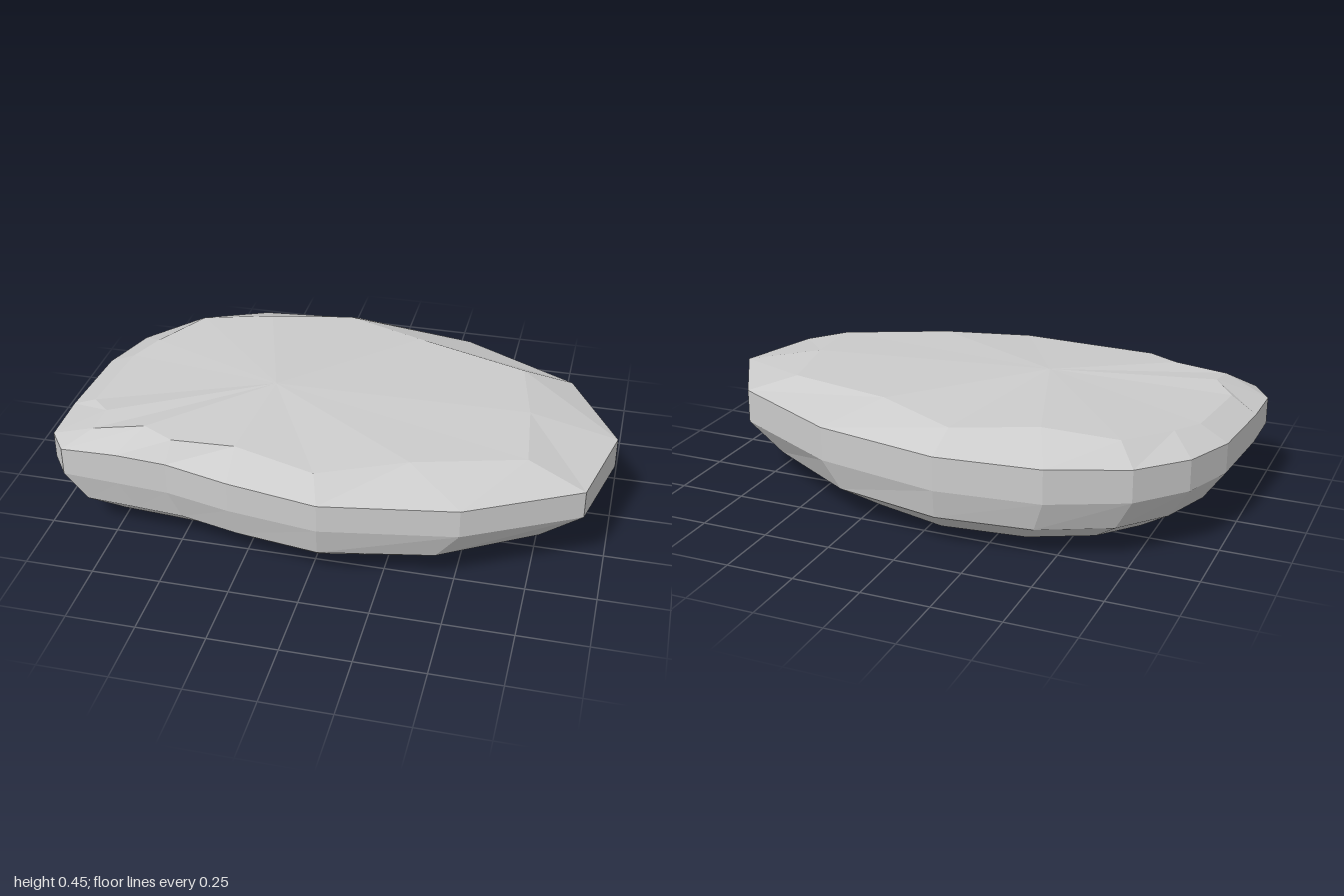
import * as THREE from 'three';

// Rim of the stone, clockwise from above: x, z, and rim height y
const RIM = [
  [1, 0.01, 0.345], [0.92, 0.35, 0.335], [0.52, 0.56, 0.335], [0.04, 0.64, 0.335],
  [-0.29, 0.595, 0.345], [-0.53, 0.54, 0.35], [-0.72, 0.525, 0.35], [-0.93, 0.51, 0.335],
  [-1, 0.41, 0.33], [-1, 0.21, 0.335], [-0.975, -0.11, 0.34], [-0.9, -0.31, 0.345],
  [-0.75, -0.48, 0.35], [-0.48, -0.605, 0.355], [-0.1, -0.645, 0.355],
  [0.37, -0.555, 0.355], [0.8, -0.33, 0.355],
];
// Edge of the flat top, one point per rim point: x, z, y
const TOP = [
  [0.68, 0.02, 0.42], [0.71, 0.3, 0.405], [0.32, 0.43, 0.42], [0.01, 0.55, 0.405],
  [-0.29, 0.48, 0.425], [-0.52, 0.485, 0.42], [-0.64, 0.42, 0.42], [-0.83, 0.44, 0.395],
  [-0.82, 0.33, 0.405], [-0.9, 0.24, 0.385], [-0.87, -0.09, 0.39], [-0.81, -0.21, 0.4],
  [-0.68, -0.4, 0.415], [-0.41, -0.44, 0.435], [-0.11, -0.53, 0.42],
  [0.2, -0.39, 0.435], [0.62, -0.27, 0.42],
];

// Rim copied at height y, scaled separately on the left, right and in depth
function ringAt(y, left, right, depth) {
  return RIM.map(([x, z]) => [x * (x > 0 ? left : right), y, z * depth]);
}

function stoneGeometry() {
  const lift = ([x, z, y]) => [x, y, z];
  const rings = [
    ringAt(0.045, 0.51, 0.8, 0.82),
    ringAt(0.12, 0.84, 0.92, 0.96),
    ringAt(0.23, 1, 1, 1),
    RIM.map(lift),
    TOP.map(lift),
  ];
  const n = RIM.length;
  const positions = [...rings.flat(), [-0.27, 0, 0.08], [-0.25, 0.45, 0.08]].flat();
  const bottom = rings.length * n, top = bottom + 1, last = (rings.length - 1) * n;
  const index = [];
  for (let i = 0; i < n; i++) {
    const j = (i + 1) % n;
    // side bands
    for (let r = 0; r < last; r += n) {
      index.push(r + i, r + n + i, r + j, r + j, r + n + i, r + n + j);
    }
    // shallow bottom and top caps
    index.push(bottom, i, j, top, last + j, last + i);
  }
  const indexed = new THREE.BufferGeometry();
  indexed.setAttribute('position', new THREE.Float32BufferAttribute(positions, 3));
  indexed.setIndex(index);
  const geometry = indexed.toNonIndexed();
  geometry.computeVertexNormals();
  return geometry;
}

export function createModel() {
  const group = new THREE.Group();
  group.name = 'flatRock';
  const material = new THREE.MeshStandardMaterial({ color: 0xcccccc, flatShading: true });
  const stone = new THREE.Mesh(stoneGeometry(), material);
  stone.name = 'stone';
  group.add(stone);
  return group;
}
